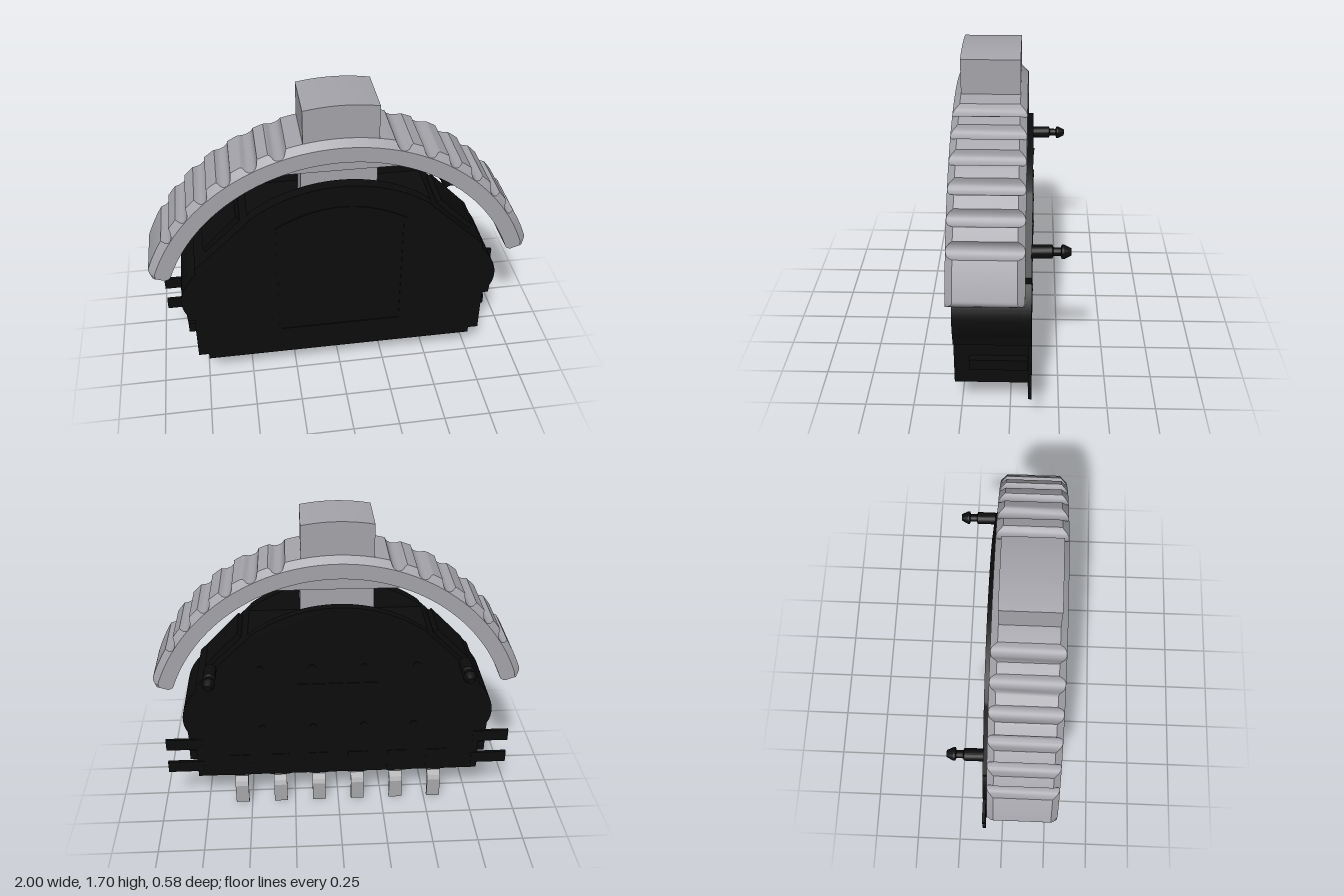
import * as THREE from 'three';
import { toCreasedNormals } from 'three/addons/utils/BufferGeometryUtils.js';

const black = new THREE.MeshStandardMaterial({ color: 0x0c0c0d });
black.name = 'black plastic';
const grey = new THREE.MeshStandardMaterial({ color: 0xa5a4aa });
grey.name = 'grey plastic';
const metal = new THREE.MeshStandardMaterial({ color: 0xa8a8aa });
metal.name = 'pin metal';

const CY = 0.456; // height of the rocker's centre of curvature
const rad = THREE.MathUtils.degToRad;

export function createModel() {
  const model = new THREE.Group();

  const add = (name, geo, mat, x = 0, y = 0, z = 0) => {
    const m = new THREE.Mesh(geo, mat);
    m.name = name;
    m.position.set(x, y, z);
    model.add(m);
    return m;
  };
  const box = (name, mat, x0, x1, y0, y1, z0, z1) =>
    add(name, new THREE.BoxGeometry(x1 - x0, y1 - y0, z1 - z0), mat, (x0 + x1) / 2, (y0 + y1) / 2, (z0 + z1) / 2);
  const slab = (name, shape, z0, z1, mat) => {
    const g = new THREE.ExtrudeGeometry(shape, { depth: z1 - z0, bevelEnabled: false, curveSegments: 32 });
    return add(name, toCreasedNormals(g, 0.5), mat, 0, 0, z0);
  };

  // Curved thumb rocker with chamfered rims and finger grooves
  add('rocker', rockerGeometry(), grey);

  // Knob on top of the rocker
  const knob = new THREE.Shape();
  knob.moveTo(-0.187, 1.45);
  knob.lineTo(0.187, 1.45);
  knob.lineTo(0.187, 1.682);
  knob.quadraticCurveTo(0, 1.716, -0.187, 1.682);
  slab('knob', knob, -0.04, 0.255, grey);

  // Web under the rocker and the stem that enters the housing
  const web = new THREE.Shape();
  const a = Math.asin((1.3 - CY) / 0.955);
  web.absarc(0, CY, 0.955, a, Math.PI - a, false);
  web.closePath();
  slab('rockerWeb', web, 0.02, 0.2, grey);
  box('stem', grey, -0.195, 0.195, 1.0, 1.38, 0.03, 0.19);

  // Housing: front and back walls with a lower core between them
  const coreShape = housing(0.2, false);
  slab('housingCore', coreShape, -0.06, 0.24, black);
  slab('frontCover', housing(0.2, true), 0.215, 0.277, black);
  slab('backPlate', housing(0.2, true), -0.105, -0.06, black);
  box('frontSkirt', black, -0.74, 0.74, 0.165, 0.24, 0.26, 0.277);
  box('bottomLip', black, -0.74, 0.74, 0.165, 0.18, 0.13, 0.277);

  // Shallow arched frame on the front
  const arch = (w, y0, y1, top) => {
    const s = new THREE.Shape();
    s.moveTo(-w, y0);
    s.lineTo(w, y0);
    s.lineTo(w, y1);
    s.quadraticCurveTo(0, top, -w, y1);
    s.closePath();
    return s;
  };
  const frame = arch(0.34, 0.325, 1.03, 1.235);
  frame.holes.push(arch(0.325, 0.34, 1.02, 1.22));
  slab('frontFrame', frame, 0.277, 0.281, black);

  // Raised panel and dimples on the back
  box('backPanel', black, -0.22, 0.22, 0.62, 0.8, -0.109, -0.1);
  for (const x of [-0.42, -0.14, 0.14, 0.42])
    for (const y of [0.52, 0.9]) {
      const stud = add('backStud', new THREE.CylinderGeometry(0.02, 0.02, 0.008, 16), black, x, y, -0.107);
      stud.rotation.x = Math.PI / 2;
    }

  // Locating peg profile, radius against length
  const pegProfile = [[0.033, 0], [0.033, 0.1], [0.021, 0.105], [0.021, 0.14],
    [0.035, 0.145], [0.035, 0.155], [0.018, 0.19], [0, 0.19]].map(p => new THREE.Vector2(...p));
  for (const s of [-1, 1]) {
    const peg = add('locatingPeg', toCreasedNormals(new THREE.LatheGeometry(pegProfile, 24), 0.5), black, s * 0.68, 0.905, -0.1);
    peg.rotation.x = -Math.PI / 2;

    // Raised clip on the sloping shoulder
    const clip = add('shoulderClip', new THREE.BoxGeometry(0.26, 0.03, 0.24), black, s * 0.613, 0.973, 0.09);
    clip.rotation.z = -s * 0.8;

    // Thin side tabs at the back
    for (const y of [0.272, 0.422])
      box('sideTab', black, s > 0 ? 0.76 : -0.96, s > 0 ? 0.96 : -0.76, y - 0.034, y + 0.034, -0.109, -0.092);
    box('sideLug', black, s * 0.81 - 0.025, s * 0.81 + 0.025, 0.31, 0.37, -0.09, 0.2);

    // Small metal feet under the housing
    box('endFoot', metal, s * 0.725 - 0.025, s * 0.725 + 0.025, 0.178, 0.21, -0.05, -0.01);
  }

  // Six cranked pins: a strip drawn in z and y, extruded across x
  const pin = new THREE.Shape([[-0.02, 0.205], [-0.085, 0.205], [-0.085, 0.176], [-0.045, 0.176], [-0.092, 0.138],
    [-0.105, 0.115], [-0.105, 0], [-0.087, 0], [-0.087, 0.11], [-0.078, 0.124], [-0.03, 0.16], [-0.02, 0.178]]
    .map(([z, y]) => new THREE.Vector2(-z, y)));
  const pinGeo = new THREE.ExtrudeGeometry(pin, { depth: 0.075, bevelEnabled: false });
  pinGeo.translate(0, 0, -0.0375);
  pinGeo.rotateY(Math.PI / 2);
  for (let i = 0; i < 6; i++) {
    add('pin', pinGeo, metal, (i - 2.5) * 0.222, 0, 0);
    box('pinRecess', black, (i - 2.5) * 0.222 - 0.055, (i - 2.5) * 0.222 + 0.055, 0.2, 0.34, -0.109, -0.1);
  }

  return model;
}

// Housing outline; the domed version carries the arc across the top
function housing(y0, domed) {
  const s = new THREE.Shape();
  s.moveTo(-0.795, y0);
  s.lineTo(0.795, y0);
  s.lineTo(0.795, 0.46);
  s.lineTo(0.83, 0.46);
  s.lineTo(0.833, 0.51);
  s.bezierCurveTo(0.865, 0.57, 0.865, 0.67, 0.765, 0.775);
  s.lineTo(0.765, 0.81);
  s.lineTo(0.475, 1.085);
  if (domed) s.absarc(0, 0.48, 0.775, Math.asin(0.62 / 0.775), Math.PI - Math.asin(0.62 / 0.775), false);
  s.lineTo(-0.475, 1.085);
  s.lineTo(-0.765, 0.81);
  s.lineTo(-0.765, 0.775);
  s.bezierCurveTo(-0.865, 0.67, -0.865, 0.57, -0.833, 0.51);
  s.lineTo(-0.83, 0.46);
  s.lineTo(-0.795, 0.46);
  s.closePath();
  return s;
}

// Sweeps a chamfered section along the arc, dipping the outer face at each groove
function rockerGeometry() {
  const start = 18.8, steps = 284, inner = 0.947, shoulder = 1.03, outer = 1.064;
  const z0 = -0.075, z1 = 0.29;
  const section = i => {
    const deg = start + (180 - 2 * start) * i / steps;
    const off = Math.abs(deg - 90);
    let ro = outer, ri = inner, sh = shoulder;
    for (let k = 0; k < 6; k++) {
      const d = (off - 17 - 8 * k) / 2.1;
      if (Math.abs(d) < 1) ro = outer - 0.033 * Math.sqrt(1 - d * d);
    }
    // Rounded tips
    const e = Math.max(0, 1 - (90 - start - off) / 1.6);
    ro -= 0.034 * e * e;
    sh -= 0.015 * e * e;
    ri += 0.02 * e * e;
    const inset = Math.max(0, ro - shoulder) * 1.03;
    const c = Math.cos(rad(deg)), s = Math.sin(rad(deg));
    return [[ri, z0], [sh, z0], [ro, z0 + inset], [ro, z1 - inset], [sh, z1], [ri, z1]]
      .map(([r, z]) => [r * c, CY + r * s, z]);
  };
  const pos = [];
  const quad = (a, b, c, d) => pos.push(...a, ...b, ...c, ...a, ...c, ...d);
  const rings = Array.from({ length: steps + 1 }, (_, i) => section(i));
  for (let i = 0; i < steps; i++)
    for (let j = 0; j < 6; j++) {
      const k = (j + 1) % 6;
      quad(rings[i][j], rings[i + 1][j], rings[i + 1][k], rings[i][k]);
    }
  const f = rings[0], l = rings[steps];
  quad(f[0], f[1], f[4], f[5]);
  quad(f[1], f[2], f[3], f[4]);
  quad(l[5], l[4], l[1], l[0]);
  quad(l[4], l[3], l[2], l[1]);
  const g = new THREE.BufferGeometry();
  g.setAttribute('position', new THREE.Float32BufferAttribute(pos, 3));
  g.computeVertexNormals();
  return toCreasedNormals(g, 0.6);
}
